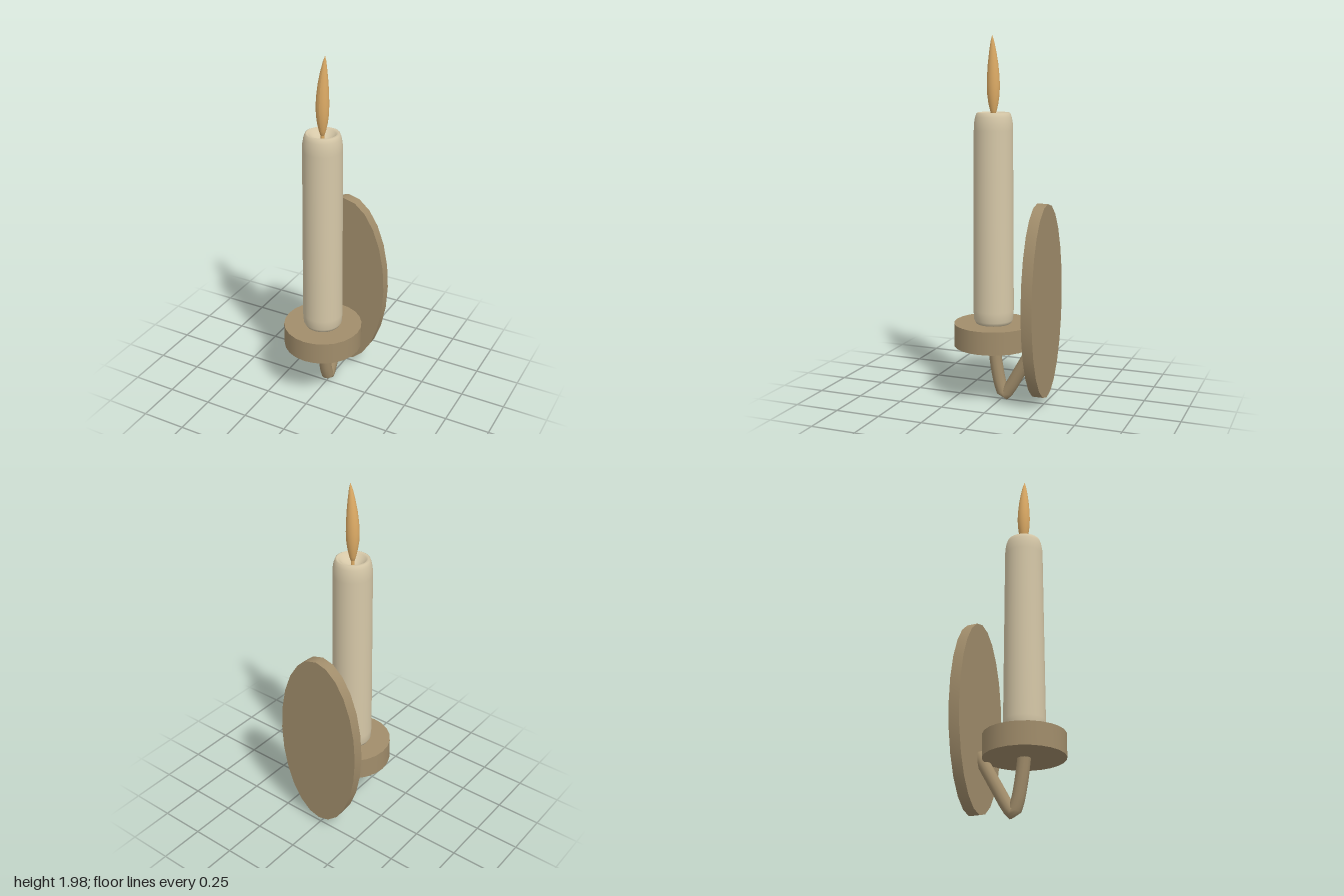
import * as THREE from 'three';
import { toCreasedNormals } from 'three/addons/utils/BufferGeometryUtils.js';

const AXIS_Z = 0.045; // candle axis

export function createModel() {
  const group = new THREE.Group();
  const material = (name, color) => {
    const m = new THREE.MeshStandardMaterial({ color });
    m.name = name;
    return m;
  };
  const brass = material('aged brass', 0xa18d6b);
  const wax = material('ivory wax', 0xd6c8a8);
  const fire = material('flame amber', 0xdeac66);

  const add = (name, geometry, mat, x = 0, y = 0, z = 0) => {
    const mesh = new THREE.Mesh(geometry, mat);
    mesh.name = name;
    mesh.position.set(x, y, z);
    group.add(mesh);
    return mesh;
  };
  const lathe = (points, sides) =>
    new THREE.LatheGeometry(points.map(([r, y]) => new THREE.Vector2(r, y)), sides);

  // Oval wall plate: a disc laid against the wall and stretched upward
  const plate = new THREE.CylinderGeometry(1, 1, 0.06, 24);
  plate.rotateY(Math.PI / 2).rotateX(Math.PI / 2).scale(0.255, 0.532, 1);
  add('wallPlate', toCreasedNormals(plate, 0.7), brass, 0, 0.586, -0.235);

  // Curved arm from the plate down and up to the dish
  const armPath = new THREE.CatmullRomCurve3([
    [0.325, 0.043], [0.2, 0.026], [0.09, 0.002], [0.046, -0.02],
    [0.082, -0.05], [0.18, -0.107], [0.37, -0.215],
  ].map(([y, z]) => new THREE.Vector3(0, y, z)));
  add('arm', new THREE.TubeGeometry(armPath, 32, 0.035, 12), brass);

  // Drip dish
  add('dripDish', new THREE.CylinderGeometry(0.218, 0.218, 0.126, 24), brass, 0, 0.383, AXIS_Z);

  // Candle with rounded foot, softened shoulder and a melted hollow on top
  add('candle', lathe([
    [0, 0.445], [0.096, 0.445], [0.107, 0.465], [0.111, 0.52], [0.108, 1.0], [0.105, 1.5],
    [0.104, 1.535], [0.098, 1.57], [0.09, 1.592], [0.082, 1.596], [0.07, 1.588],
    [0.05, 1.568], [0.025, 1.556], [0, 1.554],
  ], 32), wax, 0, 0, AXIS_Z);

  // Wick
  add('wick', new THREE.CylinderGeometry(0.01, 0.01, 0.05, 10), fire, 0, 1.575, AXIS_Z);

  // Flame whose upper half leans to one side
  const flame = lathe([
    [0, 1.575], [0.011, 1.582], [0.018, 1.605], [0.027, 1.645], [0.033, 1.69], [0.035, 1.74],
    [0.033, 1.79], [0.028, 1.85], [0.019, 1.915], [0.009, 1.97], [0, 2.0],
  ], 20);
  const p = flame.attributes.position;
  for (let i = 0; i < p.count; i++) {
    const t = Math.max(0, (p.getY(i) - 1.7) / 0.3);
    p.setX(i, p.getX(i) + 0.016 * t * t);
  }
  flame.computeVertexNormals();
  add('flame', flame, fire, 0, 0, AXIS_Z);

  return group;
}
